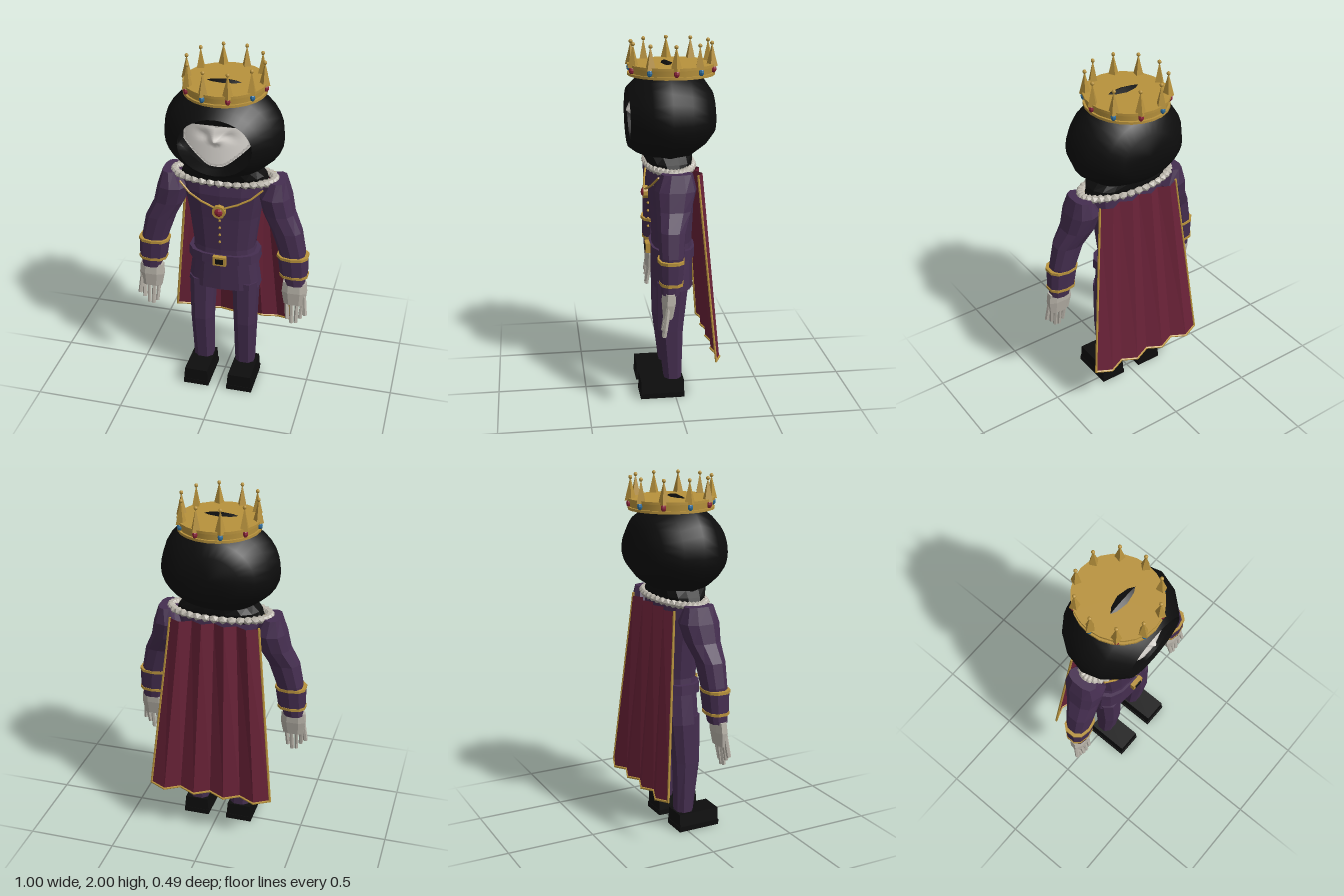
import * as THREE from 'three';
import { toCreasedNormals } from 'three/addons/utils/BufferGeometryUtils.js';

const mat = (name, color, side = THREE.FrontSide) => {
  const m = new THREE.MeshStandardMaterial({ color, side });
  m.name = name;
  return m;
};
const V = (x, y, z) => new THREE.Vector3(x, y, z);

// Skin over closed rings of points, capped at both ends
function skin(rings) {
  const n = rings[0].length, pos = [], idx = [];
  rings.forEach(r => r.forEach(p => pos.push(p.x, p.y, p.z)));
  for (let i = 0; i < rings.length - 1; i++)
    for (let j = 0; j < n; j++) {
      const k = (j + 1) % n, a = i * n + j, b = i * n + k;
      idx.push(a, a + n, b, b, a + n, b + n);
    }
  [0, rings.length - 1].forEach((ri, end) => {
    const c = V(0, 0, 0);
    rings[ri].forEach(p => c.addScaledVector(p, 1 / n));
    const ci = pos.length / 3;
    pos.push(c.x, c.y, c.z);
    for (let j = 0; j < n; j++) {
      const a = ri * n + j, b = ri * n + (j + 1) % n;
      end ? idx.push(ci, b, a) : idx.push(ci, a, b);
    }
  });
  const g = new THREE.BufferGeometry();
  g.setAttribute('position', new THREE.Float32BufferAttribute(pos, 3));
  g.setIndex(idx);
  g.computeVertexNormals();
  return g;
}

const flat = g => {
  const f = g.index ? g.toNonIndexed() : g;
  f.computeVertexNormals();
  return f;
};

// Faceted body from horizontal sections [x, y, z, rx, rz], bottom to top
const loft = (sections, n = 10) => flat(skin(sections.map(([x, y, z, rx, rz]) =>
  Array.from({ length: n }, (_, j) => {
    const a = (j + 0.5) / n * Math.PI * 2, c = Math.cos(a), s = Math.sin(a);
    return V(x + rx * Math.sign(c) * Math.abs(c) ** 0.8, y, z + rz * Math.sign(s) * Math.abs(s) ** 0.8);
  }))));

export function createModel() {
  const root = new THREE.Group();
  const purple = mat('purple cloth', 0x452e50), black = mat('black', 0x0d0d0d);
  const gold = mat('gold', 0xb8923c), red = mat('red gem', 0x8c2238), blue = mat('blue gem', 0x2f6f9f);
  const pale = mat('pale grey', 0xb9b4aa), white = mat('mask white', 0xe8e4de);
  const wine = mat('wine cape', 0x6a2238, THREE.DoubleSide);

  const add = (name, geo, m, x = 0, y = 0, z = 0, parent = root) => {
    const mesh = new THREE.Mesh(geo, m);
    mesh.name = name;
    mesh.position.set(x, y, z);
    parent.add(mesh);
    return mesh;
  };
  const box = (w, h, d) => new THREE.BoxGeometry(w, h, d);
  const rod = (name, a, b, r, m, parent = root) => {
    const mid = a.clone().add(b).multiplyScalar(0.5);
    const mesh = add(name, flat(new THREE.CylinderGeometry(r, r, a.distanceTo(b) + r, 6)), m, mid.x, mid.y, mid.z, parent);
    mesh.quaternion.setFromUnitVectors(V(0, 1, 0), b.clone().sub(a).normalize());
    return mesh;
  };

  // Jacket, collar, belt and buckle
  add('jacket', loft([[0, 0.64, 0, 0.21, 0.115], [0, 0.82, 0, 0.185, 0.115], [0, 0.9, 0, 0.175, 0.11],
    [0, 1.1, 0, 0.2, 0.118], [0, 1.25, 0.01, 0.225, 0.12], [0, 1.33, 0.01, 0.23, 0.11]], 14), purple);
  add('belt', loft([[0, 0.815, 0, 0.208, 0.126], [0, 0.87, 0, 0.204, 0.126]], 14), purple);
  add('buckle', box(0.076, 0.055, 0.025), gold, 0, 0.845, 0.135);
  add('buckleCentre', box(0.044, 0.03, 0.008), black, 0, 0.845, 0.148);
  for (let i = 0; i < 4; i++)
    add('button', flat(new THREE.SphereGeometry(0.008, 6, 4)), gold, 0, 0.965 + i * 0.045, 0.13);

  // Necklace and pendant
  for (const s of [1, -1]) {
    const path = [V(s * 0.23, 1.3, 0.1), V(s * 0.17, 1.25, 0.125), V(s * 0.1, 1.215, 0.14), V(s * 0.03, 1.19, 0.148)];
    for (let i = 0; i < 3; i++) rod('necklaceChain', path[i], path[i + 1], 0.006, gold);
  }
  const disc = add('pendant', flat(new THREE.CylinderGeometry(0.038, 0.038, 0.025, 10)), gold, 0, 1.165, 0.145);
  disc.rotation.x = Math.PI / 2;
  add('pendantGem', flat(new THREE.SphereGeometry(0.025, 8, 6)), red, 0, 1.165, 0.155).scale.z = 0.6;

  // Ruff of faceted beads
  for (let i = 0; i < 36; i++) {
    const a = i / 36 * Math.PI * 2;
    const bead = add('ruffBead', flat(new THREE.IcosahedronGeometry(0.028, 0)), pale,
      0.28 * Math.cos(a), 1.335, 0.015 + 0.122 * Math.sin(a));
    bead.rotation.y = -a;
    bead.scale.y = 0.85;
  }

  // Limbs, mirrored
  for (const s of [1, -1]) {
    add('sleeve', loft([[s * 0.42, 0.72, 0.06, 0.056, 0.05], [s * 0.395, 0.92, 0.05, 0.075, 0.066],
      [s * 0.36, 1.05, 0.045, 0.085, 0.075], [s * 0.31, 1.15, 0.025, 0.087, 0.095],
      [s * 0.287, 1.25, 0.015, 0.088, 0.112], [s * 0.3, 1.34, 0.01, 0.045, 0.085]]), purple);
    add('cuff', loft([[s * 0.41, 0.775, 0.056, 0.078, 0.062], [s * 0.4, 0.9, 0.052, 0.086, 0.07]]), purple);
    for (const [x, y, r] of [[0.41, 0.77, 0.082], [0.4, 0.89, 0.09]])
      add('cuffBand', loft([[s * x, y, 0.055, r, r - 0.017], [s * x, y + 0.016, 0.055, r, r - 0.017]]), gold);

    const hand = new THREE.Group();
    hand.name = 'hand';
    root.add(hand);
    add('palm', loft([[s * 0.42, 0.59, 0.075, 0.062, 0.026], [s * 0.418, 0.67, 0.07, 0.075, 0.036],
      [s * 0.418, 0.73, 0.065, 0.07, 0.034]], 8), pale, 0, 0, 0, hand);
    [0.505, 0.47, 0.465, 0.49].forEach((y, i) => rod('finger', V(s * (0.468 - i * 0.031), 0.62, 0.075),
      V(s * (0.46 - i * 0.025), y + 0.01, 0.095), 0.012, pale, hand));
    rod('thumb', V(s * 0.475, 0.65, 0.08), V(s * 0.487, 0.54, 0.095), 0.013, pale, hand);

    add('trouserLeg', loft([[s * 0.125, 0.08, 0.01, 0.058, 0.05], [s * 0.128, 0.4, 0.025, 0.067, 0.075],
      [s * 0.125, 0.68, 0.01, 0.077, 0.092]], 8), purple);
    add('shoeSole', box(0.15, 0.03, 0.25), black, s * 0.13, 0.015, 0.075);
    const shoe = box(0.146, 0.075, 0.244), p = shoe.attributes.position;
    for (let i = 0; i < p.count; i++) if (p.getY(i) > 0) p.setX(i, p.getX(i) * 0.92);
    add('shoe', flat(shoe), black, s * 0.13, 0.065, 0.075);
  }

  // Pleated cape with gold piping
  const capePoint = (i, t) => V((i / 4 - 1) * (0.25 + 0.105 * t), 1.31 - 1.03 * t - (i % 2) * 0.012 * t,
    -0.112 - 0.09 * t - (i % 2) * 0.033);
  const cape = new THREE.PlaneGeometry(2, 1, 8, 1), cp = cape.attributes.position;
  for (let k = 0; k < cp.count; k++) {
    const q = capePoint(k % 9, Math.floor(k / 9));
    cp.setXYZ(k, q.x, q.y, q.z);
  }
  add('cape', flat(cape), wine);
  for (let i = 0; i < 8; i++) rod('capeHem', capePoint(i, 1), capePoint(i + 1, 1), 0.007, gold);
  for (const i of [0, 8]) rod('capeEdge', capePoint(i, 0), capePoint(i, 1), 0.007, gold);

  // Hood: upright outlines [z, half width, top, bottom] from back to front
  const N = 32, angles = Array.from({ length: N }, (_, j) => -j / N * Math.PI * 2);
  const outline = ([z, w, top, bot]) => angles.map(a => {
    const s = Math.sin(a), mid = 1.59;
    return V(w * Math.cos(a), mid + s * (s > 0 ? top - mid : mid - bot), z);
  });
  // Face opening: flat on top, tapering to the chin
  const opening = (t, z) => angles.map(a => {
    const s = Math.sin(a), c = Math.cos(a);
    const x = 0.185 * Math.sign(c) * Math.sqrt(Math.abs(c)) * (s < 0 ? 1 + 0.6 * s : 1);
    const y = Math.min(1.6 + 0.13 * s + Math.max(s, 0) * 0.04, 1.71);
    const px = x * t, py = 1.62 + (y - 1.62) * t;
    return V(px, py, typeof z === 'function' ? z(px, py) : z);
  });
  const hood = skin([...[[-0.22, 0.17, 1.73, 1.49], [-0.17, 0.24, 1.8, 1.43], [-0.08, 0.305, 1.85, 1.37],
    [0.03, 0.33, 1.893, 1.345], [0.13, 0.3, 1.84, 1.37], [0.2, 0.24, 1.79, 1.4], [0.24, 0.2, 1.75, 1.43]].map(outline),
  opening(1.03, 0.225), opening(1, 0.14)]);
  add('hood', toCreasedNormals(hood, 0.8), black);
  add('hoodNeck', loft([[0, 1.31, 0.015, 0.25, 0.11], [0, 1.365, 0.02, 0.23, 0.13], [0, 1.4, 0.03, 0.19, 0.14],
    [0, 1.45, 0.03, 0.2, 0.15]], 16), black);

  // Mask with brow, cheeks and nose
  const relief = (x, y) => {
    const nose = Math.max(0, Math.min((1.72 - y) / 0.09, (y - 1.595) / 0.03, 1));
    return 0.207 - 1.1 * x * x + 0.04 * nose * Math.exp(-((x / 0.024) ** 2))
      - 0.01 * Math.exp(-(((Math.abs(x) - 0.07) / 0.035) ** 2) - ((y - 1.645) / 0.025) ** 2);
  };
  add('mask', skin([1, 0.88, 0.76, 0.64, 0.52, 0.4, 0.3, 0.2, 0.1, 0.03].map(t => opening(t, relief))), white);

  // Crown
  const crown = new THREE.Group();
  crown.name = 'crown';
  crown.scale.x = 0.94;
  root.add(crown);
  add('crownBand', toCreasedNormals(new THREE.CylinderGeometry(0.23, 0.225, 0.06, 24), 0.6), gold, 0, 1.849, 0, crown);
  for (const y of [1.825, 1.872])
    add('crownRim', toCreasedNormals(new THREE.CylinderGeometry(0.238, 0.238, 0.014, 24), 0.6), gold, 0, y, 0, crown);
  for (let i = 0; i < 10; i++) {
    const a = i / 10 * Math.PI * 2, x = Math.cos(a), z = Math.sin(a);
    const spike = add('crownSpike', flat(new THREE.ConeGeometry(0.032, 0.125, 4)), gold, x * 0.222, 1.928, z * 0.222, crown);
    spike.rotation.y = -a;
    add('spikeBall', new THREE.SphereGeometry(0.011, 8, 6), gold, x * 0.222, 1.989, z * 0.222, crown);
    const gem = add('crownGem', flat(new THREE.SphereGeometry(0.015, 8, 6)), i % 2 ? blue : red,
      x * 0.232, 1.85, z * 0.232, crown);
    gem.scale.y = 1.3;
  }
  return root;
}
